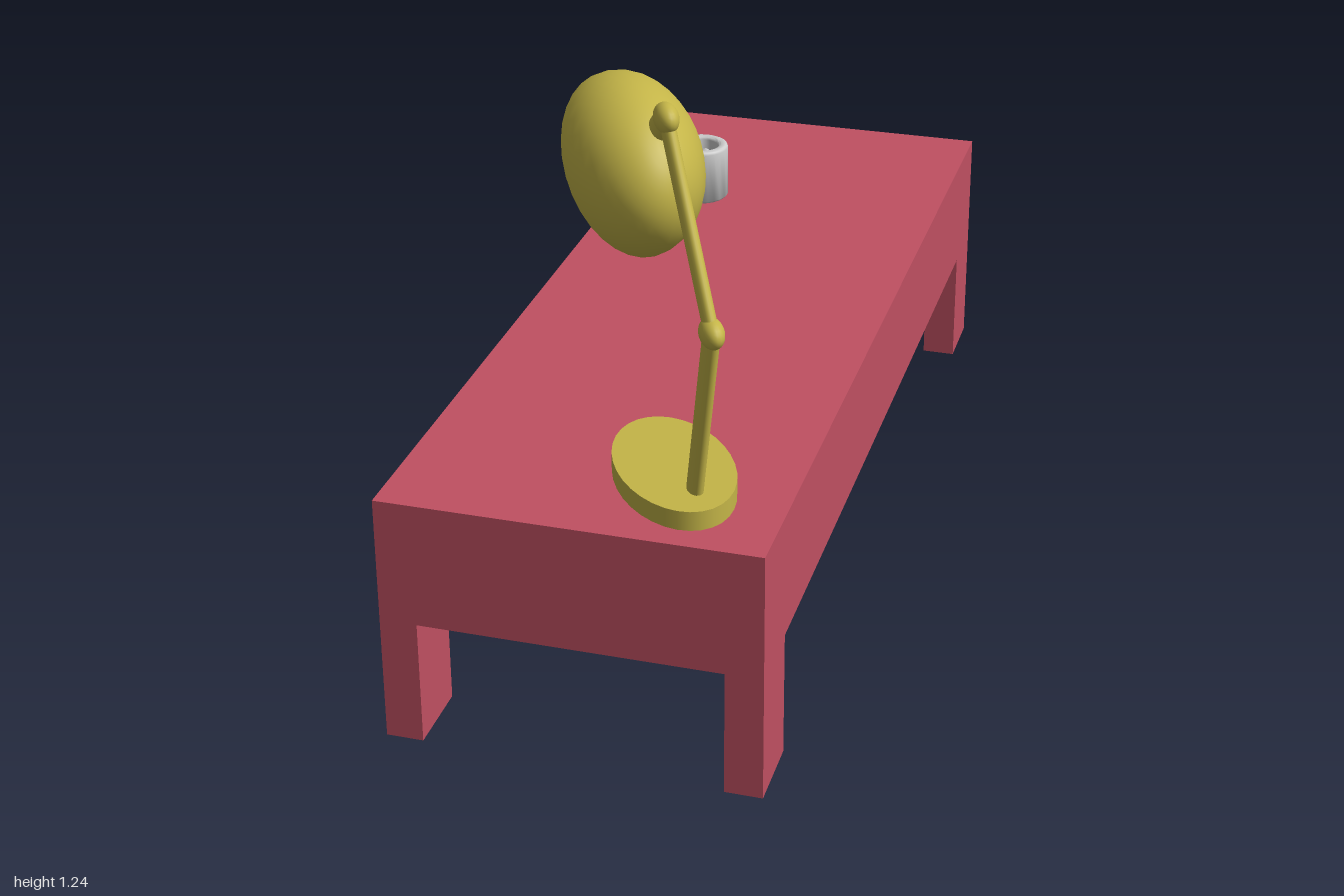
import * as THREE from 'three';
import { toCreasedNormals } from 'three/addons/utils/BufferGeometryUtils.js';

const red = new THREE.MeshStandardMaterial({ color: 0xc05062 });
const yellow = new THREE.MeshStandardMaterial({ color: 0xc4b548, side: THREE.DoubleSide });
const grey = new THREE.MeshStandardMaterial({ color: 0xcccccc });
const UP = new THREE.Vector3(0, 1, 0);
const vec = (x, y, z) => new THREE.Vector3(x, y, z);

function add(parent, name, geometry, material, x = 0, y = 0, z = 0) {
  const mesh = new THREE.Mesh(geometry, material);
  mesh.name = name;
  mesh.position.set(x, y, z);
  parent.add(mesh);
  return mesh;
}

// Straight round rod between two points
function rod(parent, name, a, b, radius) {
  const dir = b.clone().sub(a);
  const mid = a.clone().add(b).multiplyScalar(0.5);
  const mesh = add(parent, name, new THREE.CylinderGeometry(radius, radius, dir.length(), 20), yellow, ...mid);
  mesh.quaternion.setFromUnitVectors(UP, dir.normalize());
  return mesh;
}

// Solid table block on four corner legs
function createTable() {
  const table = new THREE.Group();
  table.name = 'table';
  add(table, 'tableTop', new THREE.BoxGeometry(0.732, 0.252, 2), red, 0, 0.381, 0);
  for (const sx of [-1, 1]) for (const sz of [-1, 1]) {
    add(table, 'leg', new THREE.BoxGeometry(0.073, 0.255, 0.15), red, sx * 0.3295, 0.1275, sz * 0.925);
  }
  return table;
}

// Lamp, stretched along the diagonal its arms lean in
function createLamp() {
  const lamp = new THREE.Group();
  lamp.name = 'deskLamp';
  lamp.position.set(0.138, 0.507, 0.785);
  lamp.rotation.y = 0.56;
  lamp.scale.set(0.81, 1, 1.37);
  lamp.updateMatrixWorld(true);
  const at = (x, y, z) => lamp.worldToLocal(vec(x, y, z));

  add(lamp, 'lampBase', new THREE.CylinderGeometry(0.133, 0.133, 0.038, 32), yellow, 0, 0.019, 0);

  // Jointed arm
  const foot = at(0.2, 0.535, 0.865);
  const elbow = at(0.249, 0.889, 0.925);
  const wrist = at(0.126, 1.213, 0.775);
  rod(lamp, 'lowerArm', foot, elbow, 0.018);
  rod(lamp, 'upperArm', elbow, wrist, 0.016);
  for (const p of [elbow, wrist]) add(lamp, 'armJoint', new THREE.SphereGeometry(0.027, 20, 14), yellow, ...p);
  rod(lamp, 'shadeNeck', wrist, at(0.08, 1.145, 0.72), 0.022);

  // Open half-dome shade with the bulb on its axis
  const head = new THREE.Group();
  head.name = 'lampHead';
  head.position.copy(at(0.014, 1.064, 0.642));
  head.quaternion.setFromUnitVectors(UP, vec(0.21, 0.6, 0.775).normalize());
  lamp.add(head);
  add(head, 'shade', new THREE.SphereGeometry(0.161, 32, 12, 0, Math.PI * 2, 0, Math.PI / 2), yellow);
  add(head, 'bulb', new THREE.SphereGeometry(0.038, 24, 16), grey, 0, 0.02, 0).scale.y = 1.45;
  add(head, 'bulbSocket', new THREE.CylinderGeometry(0.02, 0.02, 0.1, 16), yellow, 0, 0.108, 0);
  return lamp;
}

// Thick-walled mug with rounded rim and a flat band handle
function createMug() {
  const mug = new THREE.Group();
  mug.name = 'mug';
  mug.position.set(-0.18, 0.507, -0.51);
  const profile = [
    [0, 0], [0.057, 0], [0.062, 0.005], [0.062, 0.119], [0.06, 0.124], [0.056, 0.126],
    [0.046, 0.126], [0.042, 0.124], [0.04, 0.119], [0.04, 0.02], [0, 0.02],
  ].map(([x, y]) => new THREE.Vector2(x, y));
  add(mug, 'mugBody', toCreasedNormals(new THREE.LatheGeometry(profile, 24), 0.9), grey);
  const handle = add(mug, 'mugHandle', new THREE.TorusGeometry(0.038, 0.005, 10, 32), grey, 0, 0.063, -0.064);
  handle.rotation.y = Math.PI / 2;
  handle.scale.z = 2;
  return mug;
}

export function createModel() {
  const model = new THREE.Group();
  model.name = 'tableWithLampAndMug';
  model.add(createTable(), createLamp(), createMug());
  return model;
}
